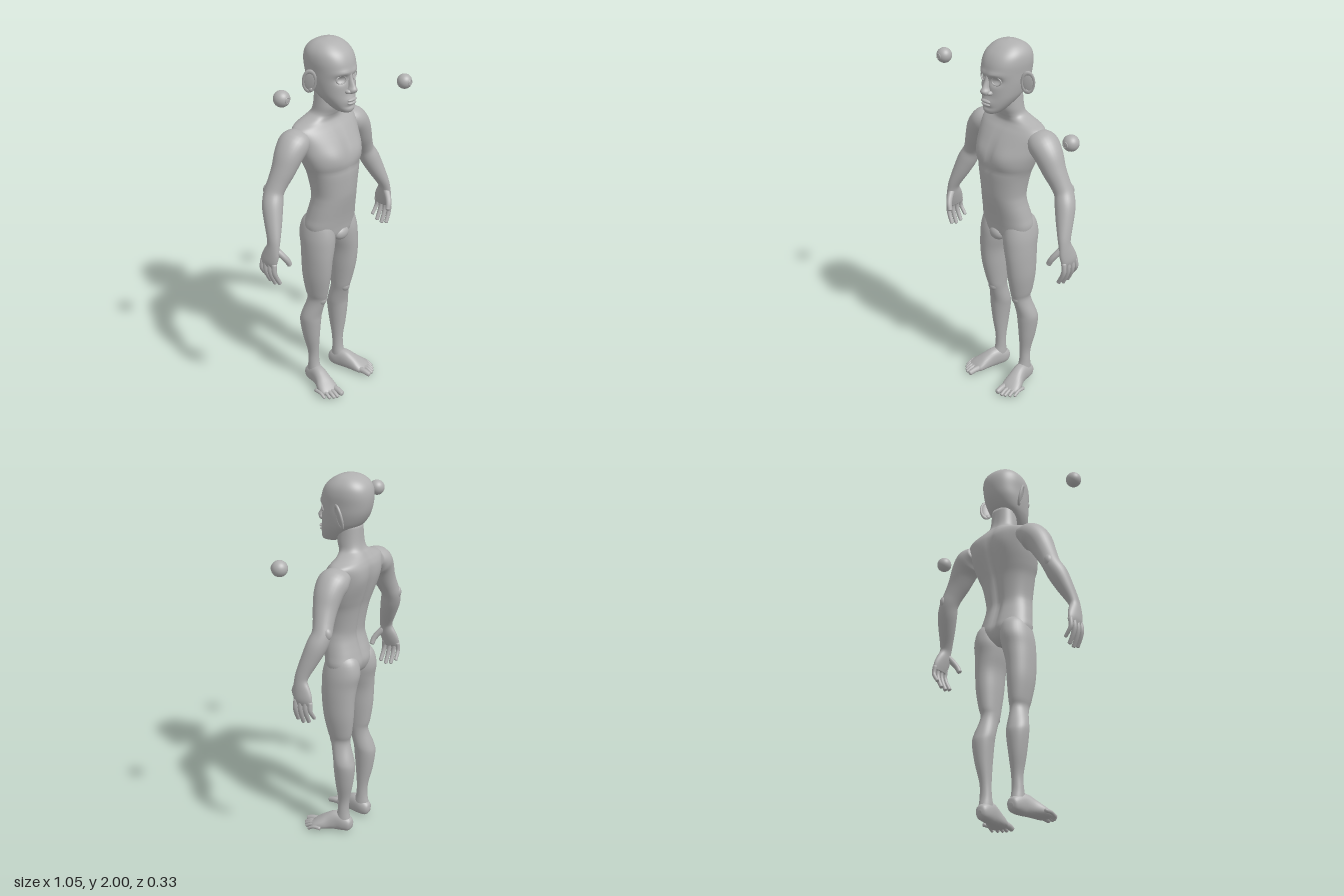
import * as THREE from 'three';

const skin = new THREE.MeshStandardMaterial({ color: 0xb0b0b0 });
skin.name = 'plain grey';
const UP = new THREE.Vector3(0, 1, 0), FRONT = new THREE.Vector3(0, 0, 1);
const bump = (d, w) => Math.exp(-(d * d) / (w * w));

function add(parent, name, geometry) {
  const mesh = new THREE.Mesh(geometry, skin);
  mesh.name = name;
  parent.add(mesh);
  return mesh;
}

// Catmull-Rom blend of whole rows of numbers
function sample(rows, t) {
  const last = rows.length - 1, i = Math.min(Math.floor(t), last - 1), f = t - i;
  const at = k => rows[Math.max(0, Math.min(last, k))];
  return rows[i].map((b, k) => {
    const a = at(i - 1)[k], c = at(i + 1)[k], d = at(i + 2)[k];
    return b + 0.5 * f * (c - a + f * (2 * a - 5 * b + 4 * c - d + f * (3 * (b - c) + d - a)));
  });
}

// Skin over rows of [x, y, z, half width, half depth].
// flat keeps every ring level; otherwise rings stand square to the path.
function loft(rows, { seg = 24, sub = 4, flat = false, ref = FRONT, power = 2, shape } = {}) {
  const n = (rows.length - 1) * sub, pos = [], index = [];
  const rings = Array.from({ length: n + 1 }, (_, i) => sample(rows, i / sub));
  const centre = i => new THREE.Vector3(...rings[Math.max(0, Math.min(n, i))].slice(0, 3));
  const put = p => { if (shape) shape(p); pos.push(p.x, p.y, p.z); };
  for (let i = 0; i <= n; i++) {
    const t = flat ? UP.clone() : centre(i + 1).sub(centre(i - 1)).normalize();
    const w = ref.clone().addScaledVector(t, -ref.dot(t)).normalize();
    const u = t.clone().cross(w);
    for (let j = 0; j < seg; j++) {
      const a = j / seg * Math.PI * 2, c = Math.cos(a), s = Math.sin(a);
      const round = v => Math.sign(v) * Math.abs(v) ** (2 / power);
      put(centre(i).addScaledVector(u, Math.max(0.0005, rings[i][3]) * round(c))
        .addScaledVector(w, Math.max(0.0005, rings[i][4]) * round(s)));
    }
  }
  for (let i = 0; i < n; i++) for (let j = 0; j < seg; j++) {
    const a = i * seg + j, b = i * seg + (j + 1) % seg;
    index.push(a, a + seg, b, b, a + seg, b + seg);
  }
  const first = (n + 1) * seg;
  put(centre(0));
  put(centre(n));
  for (let j = 0; j < seg; j++) {
    const k = (j + 1) % seg;
    index.push(first, j, k, first + 1, n * seg + k, n * seg + j);
  }
  const g = new THREE.BufferGeometry();
  g.setAttribute('position', new THREE.Float32BufferAttribute(pos, 3));
  g.setIndex(index);
  g.computeVertexNormals();
  return g;
}

// Level ring from its extents: height, left and right edge, front and back
const ring = (y, x0, x1, zf, zb) =>
  [(x0 + x1) / 2, y, (zf + zb) / 2, Math.abs(x1 - x0) / 2, (zf - zb) / 2];
const centred = ([y, hw, zf, zb]) => ring(y, -hw, hw, zf, zb);
const mirror = (rows, s) => rows.map(([x, ...rest]) => [x * s, ...rest]);

function ellipsoid(parent, name, p, r, rot = [0, 0, 0]) {
  const m = add(parent, name, new THREE.SphereGeometry(1, 24, 16).scale(...r));
  m.position.set(...p);
  m.rotation.set(...rot);
  return m;
}

function digit(parent, name, points, r, s, ref = FRONT) {
  const rows = points.map((p, i) => [...p, r * (1 - 0.08 * i), r * (1 - 0.08 * i)]);
  const a = points.at(-1), b = points.at(-2);
  const d = new THREE.Vector3(...a).sub(new THREE.Vector3(...b)).normalize();
  // rounded tip
  for (const [k, q] of [[0.5, 0.7], [0.75, 0.05]])
    rows.push([a[0] + d.x * r * k, a[1] + d.y * r * k, a[2] + d.z * r * k, r * q, r * q]);
  add(parent, name, loft(mirror(rows, s), { seg: 12, sub: 3, ref }));
}

function buildTorso(body) {
  const rows = [
    [0.92, 0.06, 0.05, -0.08], [0.95, 0.14, 0.066, -0.115], [1.0, 0.16, 0.072, -0.132],
    [1.05, 0.152, 0.08, -0.122], [1.1, 0.143, 0.09, -0.108], [1.15, 0.134, 0.1, -0.098],
    [1.2, 0.132, 0.107, -0.102], [1.3, 0.15, 0.112, -0.12], [1.36, 0.172, 0.113, -0.137],
    [1.42, 0.19, 0.1, -0.153], [1.48, 0.2, 0.073, -0.165], [1.53, 0.21, 0.04, -0.165],
    [1.56, 0.2, 0.015, -0.155], [1.58, 0.15, 0.004, -0.143], [1.6, 0.1, 0.006, -0.13],
    [1.62, 0.078, 0.014, -0.116], [1.66, 0.072, 0.025, -0.106], [1.74, 0.066, 0.02, -0.1]
  ].map(centred);
  add(body, 'torso and neck', loft(rows, {
    seg: 64, flat: true, power: 2.2,
    shape(p) {
      if (p.z < -0.05) { // spine groove and shoulder blades
        p.z += 0.022 * bump(p.x, 0.022) * bump(p.y - 1.25, 0.28);
        p.z -= 0.008 * bump(Math.abs(p.x) - 0.1, 0.05) * bump(p.y - 1.47, 0.08);
      } else if (p.z > 0) { // chest, breastbone and belly
        p.z += 0.01 * bump(Math.abs(p.x) - 0.085, 0.06) * bump(p.y - 1.41, 0.05);
        p.z -= 0.006 * bump(p.x, 0.015) * bump(p.y - 1.4, 0.12);
        p.z -= 0.005 * bump(p.y - 1.335, 0.02);
      }
    }
  }));
  ellipsoid(body, 'groin', [0, 0.945, 0.05], [0.05, 0.038, 0.033]);
}

function buildHead(body) {
  const head = new THREE.Group();
  head.name = 'head';
  body.add(head);
  const rows = [
    [1.64, 0.01, 0.1, 0.06], [1.646, 0.035, 0.115, 0.03], [1.662, 0.052, 0.121, 0.0],
    [1.69, 0.072, 0.116, -0.035], [1.72, 0.088, 0.114, -0.075], [1.75, 0.098, 0.113, -0.11],
    [1.8, 0.107, 0.112, -0.14], [1.85, 0.111, 0.115, -0.154], [1.9, 0.114, 0.106, -0.157],
    [1.94, 0.107, 0.085, -0.147], [1.97, 0.087, 0.052, -0.122], [1.99, 0.056, 0.015, -0.085],
    [2.0, 0.004, -0.03, -0.038]
  ].map(centred);
  add(head, 'skull and face', loft(rows, {
    seg: 72, sub: 6, flat: true, power: 2.25,
    shape(p) {
      if (p.z < 0.03) return;
      const ax = Math.abs(p.x);
      p.z -= 0.022 * bump(ax - 0.05, 0.026) * bump(p.y - 1.82, 0.02); // eye sockets
      p.z += 0.008 * bump(ax - 0.04, 0.04) * bump(p.y - 1.853, 0.013); // brows
      p.z += 0.012 * bump(ax, 0.04) * bump(p.y - 1.705, 0.025); // muzzle
      p.z -= 0.006 * bump(ax, 0.03) * bump(p.y - 1.678, 0.008); // chin crease
    }
  }));
  // nose, widening downwards
  add(head, 'nose', loft([
    [0, 1.742, 0.112, 0.012, 0.008], [0, 1.75, 0.117, 0.024, 0.024],
    [0, 1.766, 0.12, 0.024, 0.031], [0, 1.785, 0.115, 0.016, 0.026],
    [0, 1.82, 0.106, 0.012, 0.018], [0, 1.85, 0.104, 0.012, 0.012]
  ], { seg: 20, flat: true }));
  ellipsoid(head, 'upperLip', [0, 1.712, 0.122], [0.034, 0.009, 0.013]);
  ellipsoid(head, 'lowerLip', [0, 1.695, 0.12], [0.03, 0.009, 0.014]);
  for (const s of [-1, 1]) {
    ellipsoid(head, 'nostril', [s * 0.024, 1.757, 0.112], [0.014, 0.012, 0.02]);
    const rim = add(head, 'eyelid', new THREE.TorusGeometry(0.025, 0.004, 8, 28).scale(1.05, 0.8, 1));
    rim.position.set(s * 0.05, 1.82, 0.094);
    rim.rotation.y = s * 0.35;
    // ears flare out towards the back
    const ear = new THREE.Group();
    ear.name = 'ear';
    ear.position.set(s * 0.126, 1.802, -0.046);
    ear.rotation.set(0.1, -s * 0.65, -s * 0.16);
    head.add(ear);
    ellipsoid(ear, 'ear shell', [0, 0, 0], [0.008, 0.056, 0.03]);
    const earRim = add(ear, 'ear rim', new THREE.TorusGeometry(0.03, 0.007, 8, 28).scale(1, 1.85, 1));
    earRim.rotation.y = Math.PI / 2;
    ellipsoid(ear, 'ear lobe', [0, -0.048, 0.01], [0.009, 0.014, 0.013]);
  }
}

function buildArm(body, s) {
  const arm = new THREE.Group();
  arm.name = s > 0 ? 'leftArm' : 'rightArm';
  body.add(arm);
  add(arm, 'arm and palm', loft(mirror([
    [0.16, 1.515, -0.075, 0.045, 0.065], [0.215, 1.495, -0.07, 0.073, 0.083],
    [0.262, 1.45, -0.067, 0.07, 0.077], [0.3, 1.38, -0.07, 0.06, 0.064],
    [0.335, 1.315, -0.08, 0.051, 0.054], [0.36, 1.265, -0.085, 0.048, 0.053],
    [0.385, 1.21, -0.07, 0.052, 0.054], [0.41, 1.14, -0.045, 0.044, 0.047],
    [0.435, 1.07, -0.02, 0.031, 0.038], [0.446, 1.03, -0.014, 0.025, 0.037],
    [0.453, 0.985, -0.022, 0.024, 0.049], [0.46, 0.94, -0.035, 0.02, 0.053],
    [0.461, 0.91, -0.038, 0.012, 0.045]
  ], s), { seg: 32 }));
  ellipsoid(arm, 'elbow', [s * 0.365, 1.275, -0.118], [0.024, 0.035, 0.026]);
  // four fingers curling inwards
  [[0.004, 0.012, 0.82], [-0.024, -0.02, 0.81], [-0.052, -0.052, 0.817], [-0.078, -0.084, 0.842]]
    .forEach(([z0, z1, tip], i) => digit(arm, 'finger', [
      [0.461, 0.935, z0], [0.467, 0.895, (z0 * 2 + z1) / 3],
      [0.458, (0.9 + tip) / 2, (z0 + z1 * 2) / 3], [0.437, tip, z1]
    ], i === 3 ? 0.0125 : 0.0145, s));
  digit(arm, 'thumb', [[0.445, 1.01, 0.0], [0.428, 0.98, 0.028], [0.413, 0.953, 0.045],
    [0.402, 0.93, 0.05]], 0.0185, s);
}

function buildLeg(body, s) {
  const leg = new THREE.Group();
  leg.name = s > 0 ? 'leftLeg' : 'rightLeg';
  body.add(leg);
  const rows = [
    [0.04, 0.072, 0.135, -0.025, -0.105], [0.08, 0.07, 0.136, -0.015, -0.1],
    [0.13, 0.073, 0.133, -0.028, -0.092], [0.2, 0.074, 0.132, -0.03, -0.096],
    [0.3, 0.068, 0.153, -0.02, -0.118], [0.4, 0.058, 0.168, -0.012, -0.131],
    [0.45, 0.053, 0.167, -0.008, -0.122], [0.52, 0.055, 0.146, 0.01, -0.1],
    [0.56, 0.053, 0.14, 0.023, -0.094], [0.6, 0.05, 0.15, 0.034, -0.104],
    [0.7, 0.043, 0.167, 0.055, -0.117], [0.8, 0.037, 0.172, 0.066, -0.122],
    [0.88, 0.018, 0.172, 0.07, -0.13], [0.95, 0.008, 0.168, 0.068, -0.143],
    [1.02, 0.014, 0.152, 0.05, -0.128], [1.06, 0.04, 0.125, 0.02, -0.09]
  ].map(r => ring(...r));
  add(leg, 'leg', loft(mirror(rows, s), { seg: 36, flat: true }));
  ellipsoid(leg, 'kneecap', [s * 0.096, 0.555, -0.004], [0.03, 0.034, 0.028]);
  // foot, turned slightly outwards
  add(leg, 'foot', loft(mirror([
    [0.1, 0.035, -0.112, 0.012, 0.012], [0.1, 0.038, -0.1, 0.03, 0.034],
    [0.102, 0.048, -0.07, 0.038, 0.048], [0.11, 0.056, -0.025, 0.039, 0.056],
    [0.123, 0.046, 0.02, 0.044, 0.046], [0.138, 0.033, 0.06, 0.054, 0.033],
    [0.147, 0.023, 0.09, 0.054, 0.023], [0.151, 0.018, 0.11, 0.04, 0.014]
  ], s), { seg: 28, ref: UP, power: 2.3 }));
  for (let i = 0; i < 5; i++) {
    const r = i ? 0.0125 - 0.0006 * i : 0.018, x = i ? 0.124 + 0.0185 * i : 0.113;
    const z = i ? 0.156 - 0.0032 * i * i : 0.155;
    digit(leg, i ? 'toe' : 'bigToe', [[x, 0.025, z - 0.07], [x + 0.003, 0.025, z - 0.03],
      [x + 0.006, r, z]], r, s, UP);
  }
}

// Loose eyeball with a raised iris ring
function buildEyeball(root, x, y) {
  const eye = new THREE.Group();
  eye.name = 'eyeball';
  eye.position.set(x, y, 0.044);
  root.add(eye);
  add(eye, 'eye globe', new THREE.SphereGeometry(0.041, 32, 20).rotateX(Math.PI / 2));
  add(eye, 'iris', new THREE.TorusGeometry(0.014, 0.003, 8, 24)).position.z = 0.038;
}

export function createModel() {
  const root = new THREE.Group();
  root.name = 'figure';
  const body = new THREE.Group();
  body.name = 'body';
  body.position.x = -0.043;
  root.add(body);
  buildTorso(body);
  buildHead(body);
  for (const s of [-1, 1]) {
    buildArm(body, s);
    buildLeg(body, s);
  }
  buildEyeball(root, -0.463, 1.822);
  buildEyeball(root, 0.485, 1.636);
  return root;
}
